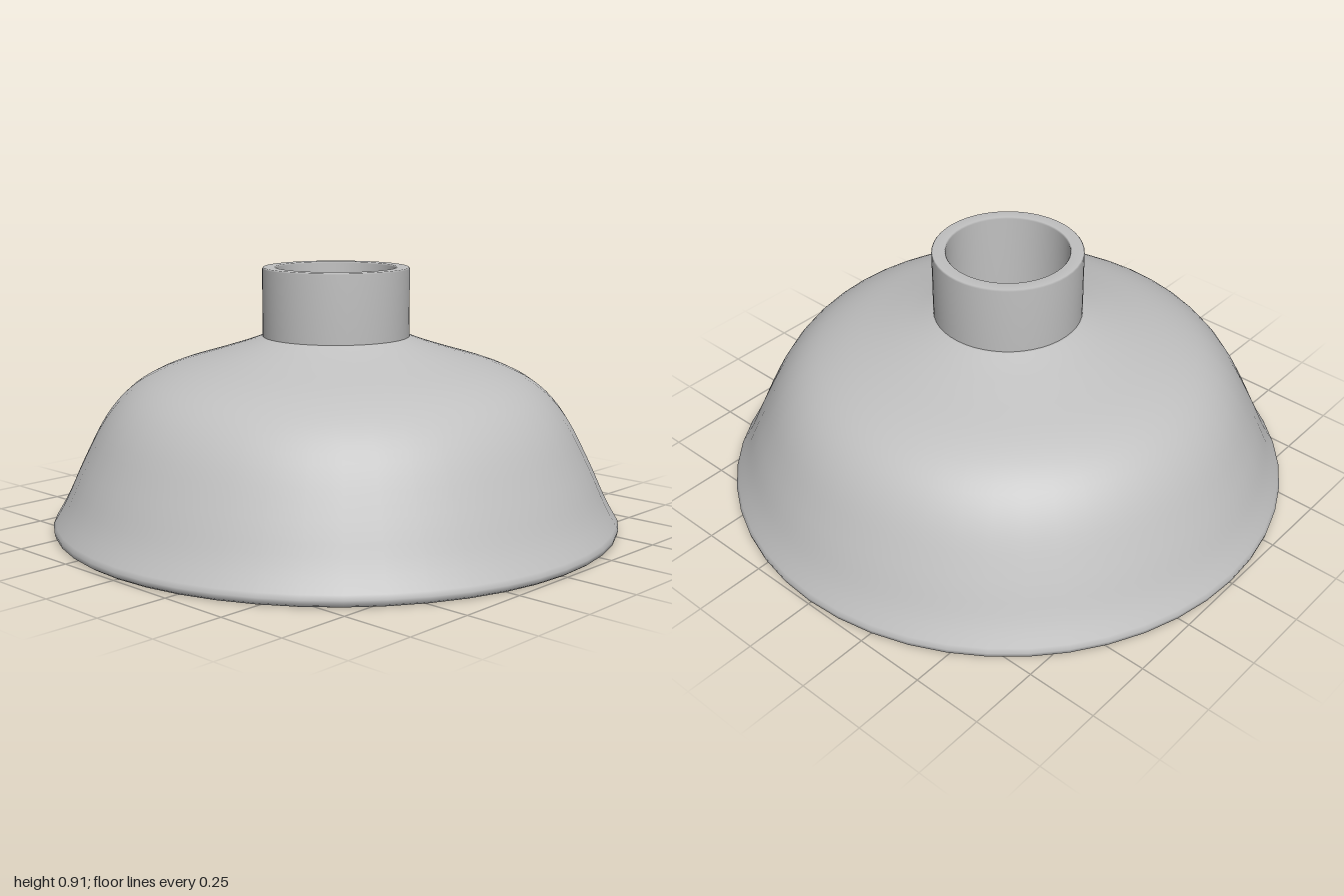
import * as THREE from 'three';

const SEGMENTS = 48;

// Revolves a closed section, outer side listed upwards and inner side downwards
function revolve(name, section, material) {
  const mesh = new THREE.Mesh(new THREE.LatheGeometry(section, SEGMENTS), material);
  mesh.name = name;
  return mesh;
}

const toPoints = (pairs) => pairs.map(([r, y]) => new THREE.Vector2(r, y));

export function createModel() {
  const group = new THREE.Group();
  group.name = 'lampShade';
  const grey = new THREE.MeshStandardMaterial({ color: 0xc0c0c0 });
  grey.name = 'light grey';

  // Bell: a smooth outer curve, offset inwards for the wall thickness
  const curve = new THREE.SplineCurve(toPoints([
    [0.998, 0.025], [0.95, 0.11], [0.89, 0.24], [0.81, 0.39], [0.72, 0.49],
    [0.6, 0.556], [0.43, 0.61], [0.33, 0.642], [0.25, 0.672],
  ]));
  const outer = curve.getPoints(32);
  const wall = 0.022;
  const inner = outer.map((p, i) => {
    const t = curve.getTangent(i / 32);
    return new THREE.Vector2(p.x - t.y * wall, p.y + t.x * wall);
  }).reverse();
  const rim = toPoints([[0.968, 0.004], [0.982, 0], [0.994, 0.008]]);
  const bell = [...rim, ...outer, ...inner, rim[0].clone()];
  group.add(revolve('bell', bell, grey));

  // Collar: a short open tube with softly shaded edges
  const collar = toPoints([
    [0.21, 0.64], [0.25, 0.64], [0.258, 0.668], [0.258, 0.905], [0.254, 0.91],
    [0.214, 0.91], [0.21, 0.905], [0.21, 0.64],
  ]);
  group.add(revolve('collar', collar, grey));

  return group;
}
